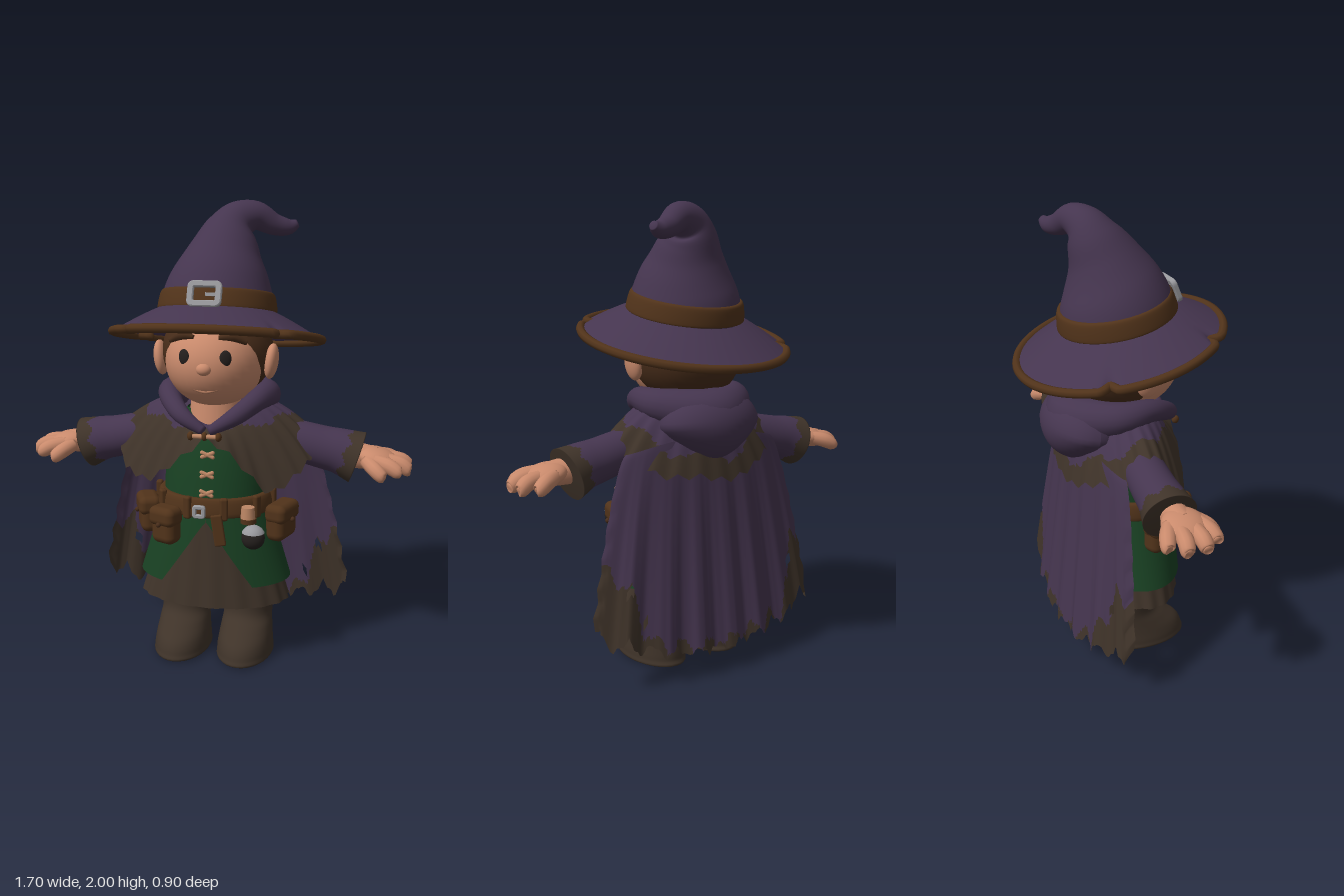
import * as THREE from 'three';
import { RoundedBoxGeometry } from 'three/addons/geometries/RoundedBoxGeometry.js';

const { sin, cos, abs, PI, min, max, floor } = Math;
const mat = (name, color) => Object.assign(new THREE.MeshStandardMaterial({ color, side: THREE.DoubleSide }), { name });
const purple = mat('purple cloth', 0x45354f), cloth = mat('dark brown cloth', 0x3f3329), green = mat('green cloth', 0x194123);
const skin = mat('skin', 0xc98a6c), leather = mat('leather', 0x51331a), hairMat = mat('hair', 0x482d1a);
const silver = mat('silver', 0x98989c), black = mat('black', 0x25201e), bronze = mat('bronze', 0xbc8664), lip = mat('lip', 0xa87358);

// Catmull-Rom sample of equal-length number rows
function sample(rows, t) {
  const f = min(max(t, 0), 1) * (rows.length - 1), i = min(floor(f), rows.length - 2), k = f - i;
  const at = n => rows[min(max(n, 0), rows.length - 1)];
  return rows[0].map((_, c) => {
    const [a, b, d, e] = [at(i - 1)[c], at(i)[c], at(i + 1)[c], at(i + 2)[c]];
    return b + 0.5 * k * (d - a + k * (2 * a - 5 * b + 4 * d - e + k * (3 * (b - d) + e - a)));
  });
}
const tooth = t => abs((((t % 1) + 1) % 1) * 2 - 1);

// Surface grid; pick chooses the material per cell (-1 leaves a hole)
function grid(fn, nu, nv, closed, pick) {
  const cols = closed ? nu : nu + 1, pos = [], lists = [];
  for (let j = 0; j <= nv; j++) for (let i = 0; i < cols; i++) pos.push(...fn(i / nu, j / nv, j));
  for (let j = 0; j < nv; j++) for (let i = 0; i < nu; i++) {
    const m = pick ? pick((i + 0.5) / nu, (j + 0.5) / nv) : 0;
    if (m < 0) continue;
    const a = j * cols + i, b = j * cols + (i + 1) % cols, c = a + cols, d = b + cols;
    (lists[m] ||= []).push(a, c, b, b, c, d);
  }
  const g = new THREE.BufferGeometry();
  g.setAttribute('position', new THREE.Float32BufferAttribute(pos, 3));
  const index = [];
  lists.forEach((l, m) => { g.addGroup(index.length, l.length, m); for (const n of l) index.push(n); });
  if (!pick) g.clearGroups();
  g.setIndex(index);
  g.computeVertexNormals();
  return g;
}

// Elliptical rings stacked in y: rows of [y, rx, rz, centreZ]
function loft(rows, { nu = 48, nv = 20, wave = 0, open = null } = {}) {
  return grid((u, v) => {
    const [y, rx, rz, cz] = sample(rows, v), a0 = open ? open(y) : 0;
    const a = a0 + u * (2 * PI - 2 * a0), k = 1 + wave * v * sin(a * 18);
    return [rx * k * sin(a), y, cz + rz * k * cos(a)];
  }, nu, nv, !open);
}

// Capped tube through rows of [x, y, z, r1, r2]
function sweep(rows, { nu = 16, nv = 16, ref = [0, 0, 1], pick } = {}) {
  const up = new THREE.Vector3(...ref), n = nv + 2;
  return grid((u, v, j) => {
    const t = min(max((j - 1) / nv, 0), 1), p = sample(rows, t), cap = j === 0 || j === n ? 0 : 1;
    const q0 = sample(rows, t - 0.02), q1 = sample(rows, t + 0.02);
    const tan = new THREE.Vector3(q1[0] - q0[0], q1[1] - q0[1], q1[2] - q0[2]).normalize();
    const side = up.clone().cross(tan).normalize(), other = tan.clone().cross(side);
    const o = new THREE.Vector3(p[0], p[1], p[2]).addScaledVector(side, cap * p[3] * cos(u * 2 * PI))
      .addScaledVector(other, cap * (p[4] ?? p[3]) * sin(u * 2 * PI));
    return o.toArray();
  }, nu, n, true, pick);
}

// Rounded buckle frame
function frame(w, h, t, d) {
  const rect = (P, a, b, r) => new P().moveTo(r - a, -b).lineTo(a - r, -b).quadraticCurveTo(a, -b, a, r - b).lineTo(a, b - r)
    .quadraticCurveTo(a, b, a - r, b).lineTo(r - a, b).quadraticCurveTo(-a, b, -a, b - r).lineTo(-a, r - b).quadraticCurveTo(-a, -b, r - a, -b);
  const s = rect(THREE.Shape, w / 2, h / 2, t * 1.3);
  s.holes.push(rect(THREE.Path, w / 2 - t, h / 2 - t, t * 0.5));
  return new THREE.ExtrudeGeometry(s, { depth: d, bevelSize: 0.004, bevelThickness: 0.004, bevelSegments: 1 });
}

export function createModel() {
  const root = new THREE.Group();
  const add = (name, geo, m, p = [0, 0, 0], r = [0, 0, 0], s = [1, 1, 1], parent = root) => {
    const mesh = new THREE.Mesh(geo, m);
    mesh.name = name;
    mesh.position.set(...p); mesh.rotation.set(...r); mesh.scale.set(...s);
    parent.add(mesh);
    return mesh;
  };
  const ball = (name, m, p, s, r) => add(name, new THREE.SphereGeometry(1, 32, 24), m, p, r, s);

  // Head and face
  ball('head', skin, [0, 1.335, 0.03], [0.215, 0.2, 0.235]);
  ball('hair', hairMat, [0, 1.365, -0.018], [0.242, 0.215, 0.232]);
  ball('nose', skin, [0, 1.33, 0.257], [0.032, 0.026, 0.026]);
  add('neck', new THREE.CylinderGeometry(0.1, 0.13, 0.25, 24), skin, [0, 1.1, 0.02]);
  add('mouth', sweep([[-0.055, 1.24, 0.222, 0.004], [0, 1.23, 0.234, 0.005], [0.055, 1.24, 0.222, 0.004]], { nu: 8 }), lip);
  for (const s of [1, -1]) {
    ball('ear', skin, [s * 0.243, 1.335, 0.03], [0.03, 0.077, 0.054], [0, 0, -s * 0.12]);
    ball('eye', black, [s * 0.087, 1.375, 0.237], [0.025, 0.034, 0.01], [0, s * 0.35, 0]);
    add('eyebrow', sweep([[s * 0.052, 1.455, 0.21, 0.009], [s * 0.105, 1.46, 0.198, 0.019], [s * 0.162, 1.432, 0.172, 0.01]], { nu: 10 }), hairMat);
  }

  // Hat: bent cone, notched brim with trim, band and buckle
  add('hatCone', sweep([
    [0, 1.51, 0.0, 0.25], [0.005, 1.6, -0.012, 0.238], [0.014, 1.69, -0.03, 0.206], [0.025, 1.785, -0.06, 0.155],
    [0.042, 1.865, -0.095, 0.116], [0.075, 1.917, -0.12, 0.083], [0.14, 1.932, -0.15, 0.062], [0.21, 1.897, -0.18, 0.047],
    [0.268, 1.885, -0.205, 0.036], [0.308, 1.9, -0.22, 0.018]], { nu: 40, nv: 48 }), purple);
  const notches = [0.75, 2.36, 3.63];
  const notch = a => notches.reduce((k, n) => k + 0.05 * Math.exp(-(((a - n) / 0.05) ** 2)), 0);
  const brim = (a, v) => {
    const r = 0.2 + 0.25 * v - notch(a) * v ** 6, z = r * sin(a) * 0.96;
    return [r * cos(a), 1.56 - 0.13 * v ** 1.2 + 0.215 * z, z];
  };
  add('hatBrim', grid((u, v) => brim(u * 2 * PI, v), 140, 14, true), purple);
  const rim = Array.from({ length: 140 }, (_, i) => new THREE.Vector3(...brim(i / 140 * 2 * PI, 1)));
  add('brimTrim', new THREE.TubeGeometry(new THREE.CatmullRomCurve3(rim, true), 280, 0.019, 8, true), leather);
  const band = new THREE.Group();
  band.name = 'hatBand';
  band.position.set(0, 1.578, -0.014);
  band.rotation.x = -0.2;
  root.add(band);
  add('bandStrap', loft([[-0.04, 0.245, 0.245, 0], [-0.035, 0.257, 0.257, 0], [0.033, 0.244, 0.244, 0], [0.04, 0.22, 0.22, 0]]), leather, [0, 0, 0], [0, 0, 0], [1, 1, 1], band);
  add('hatBuckle', frame(0.135, 0.1, 0.018, 0.015), silver, [0, 0.006, 0.251], [-0.2, 0, 0], [1, 1, 1], band);
  add('hatBuckleProng', new THREE.BoxGeometry(0.06, 0.014, 0.016), silver, [0.035, 0.006, 0.26], [0, 0, 0], [1, 1, 1], band);

  // Hood lying around the neck
  const half = [[0.012, 1.06, 0.215, 0.02], [0.115, 1.12, 0.185, 0.038], [0.195, 1.175, 0.06, 0.05], [0.19, 1.165, -0.1, 0.072]];
  const roll = [...half, [0, 1.135, -0.23, 0.1], ...half.map(([x, ...q]) => [-x, ...q]).reverse()];
  add('hoodRoll', sweep(roll, { nv: 60, ref: [0, 1, 0] }), purple);
  const bag = new THREE.SphereGeometry(1, 40, 28), bp = bag.attributes.position;
  for (let i = 0; i < bp.count; i++) if (bp.getY(i) < 0) bp.setX(i, bp.getX(i) * (1 + 0.4 * bp.getY(i)));
  bag.computeVertexNormals();
  add('hoodBag', bag, purple, [0, 1.08, -0.18], [0.15, 0, 0], [0.235, 0.155, 0.168]);

  // Shoulder mantle with ragged brown hem
  const hem = [[1.03], [0.93], [0.82], [0.85], [0.91], [1.0], [1.0], [0.95], [0.9], [0.87], [0.85]];
  add('mantle', grid((u, v) => {
    const a = u * 2 * PI, t = min(a, 2 * PI - a) / PI, c = cos(a);
    const top = 1.17 - 0.1 * max(c, 0) ** 3, low = sample(hem, t)[0] + 0.03 * (tooth(u * 26) - 0.5) + 0.012 * sin(a * 7);
    const rx = 0.16 + 0.28 * v ** 0.85, rz = c > 0 ? 0.14 + 0.105 * v ** 0.6 : 0.15 + 0.12 * v ** 0.7;
    return [rx * sin(a), top + (low - top) * v ** 1.4, rz * c];
  }, 156, 24, true, (u, v) => v > 0.5 - 0.28 * cos(u * 2 * PI) + 0.05 * sin(u * 50) ? 1 : 0), [purple, cloth]);

  // Tattered cape with brown corners and small holes
  add('cape', grid((u, v) => {
    const s = 2 * u - 1, e = (1 - s * s) ** 0.7, w = 0.39 + 0.2 * v ** 0.7;
    const low = 0.09 + 0.1 * s * s + (0.035 + 0.06 * s * s) * tooth(u * 11 + 0.2) + 0.025 * tooth(u * 27);
    const fray = abs(s) > 0.95 ? 0.018 * tooth(v * 6) * v : 0;
    const top = 1.04 - 0.06 * s * s;
    return [s * (w - fray), top + (low - top) * v, -0.13 - 0.08 * e - v * (0.04 + 0.06 * e) + 0.012 * v * sin(s * 22)];
  }, 110, 60, false, (u, v) => {
    const s = 2 * u - 1;
    if (abs(abs(s) - 0.79) < 0.02 && abs(v - 0.74) < 0.03) return -1;
    if (abs(s - 0.66) < 0.015 && abs(v - 0.86) < 0.025) return -1;
    return v > 0.97 - 0.32 * min(max(abs(s) - 0.6, 0) / 0.25, 1) + 0.04 * sin(s * 31) ? 1 : 0;
  }), [purple, cloth]);

  // Tunic, split skirt and under-robe
  add('tunic', loft([[1.12, 0.13, 0.1, 0], [1.02, 0.22, 0.16, 0], [0.88, 0.225, 0.18, 0.015], [0.7, 0.23, 0.19, 0.03]]), green);
  add('tunicSkirt', loft([[0.72, 0.235, 0.19, 0.03], [0.55, 0.285, 0.21, 0.03], [0.37, 0.34, 0.225, 0.03]],
    { open: y => 0.64 * min(max((0.66 - y) / 0.29, 0), 1) ** 0.85, nu: 72, nv: 28 }), green);
  add('robe', loft([[0.72, 0.21, 0.17, 0.03], [0.5, 0.265, 0.19, 0.03], [0.27, 0.335, 0.207, 0.035]], { wave: 0.014, nu: 144 }), cloth);

  for (const s of [1, -1]) {
    add('boot', bootGeometry(), cloth, [s * 0.145, 0, 0]);
    // Sleeve with ragged brown cuff
    add('sleeve', sweep([[s * 0.2, 1, -0.03, 0.09], [s * 0.34, 0.98, -0.03, 0.09], [s * 0.47, 0.952, -0.035, 0.094], [s * 0.54, 0.938, -0.037, 0.1], [s * 0.615, 0.914, -0.04, 0.115, 0.108]],
      { nu: 48, nv: 40, pick: (u, v) => v > 0.76 + 0.07 * tooth(u * 7) ? 1 : 0 }), [purple, cloth]);
    // Hand and fingers
    add('wrist', sweep([[s * 0.58, 0.93, -0.03, 0.06], [s * 0.7, 0.92, -0.02, 0.05, 0.075]]), skin);
    ball('palm', skin, [s * 0.705, 0.92, -0.022], [0.095, 0.047, 0.092], [0, 0, -s * 0.25]);
    for (const [x, y, z, z0] of [[0.795, 0.885, -0.128, -0.08], [0.843, 0.88, -0.068, -0.045], [0.845, 0.88, 0.012, 0], [0.805, 0.885, 0.074, 0.035]])
      add('finger', sweep([[s * 0.69, 0.925, z0, 0.03], [s * (x - 0.05), 0.91, z0 * 0.35 + z * 0.65, 0.034], [s * (x - 0.01), y + 0.004, z, 0.029], [s * x, y, z, 0.017]], { nu: 12 }), skin);
    add('thumb', sweep([[s * 0.66, 0.92, 0.03, 0.032], [s * 0.7, 0.895, 0.08, 0.033], [s * 0.732, 0.87, 0.1, 0.027], [s * 0.742, 0.865, 0.104, 0.012]], { nu: 12 }), skin);
  }

  // Clasp and chest toggles
  add('clasp', new THREE.CapsuleGeometry(0.01, 0.1, 4, 10), bronze, [0, 1.045, 0.25], [0, 0, PI / 2]);
  for (const x of [-0.06, 0, 0.06]) ball('claspKnob', leather, [x, 1.045, 0.247], [0.014, 0.019, 0.017]);
  for (const [y, z] of [[0.95, 0.192], [0.865, 0.203], [0.785, 0.215]]) for (const s of [1, -1])
    add('toggle', new THREE.CapsuleGeometry(0.009, 0.05, 4, 8), bronze, [0, y, z], [0, 0, PI / 2 + s * 0.4]);

  // Belt with loops, buckle and tongue
  add('belt', loft([[0.765, 0.225, 0.185, 0.03], [0.758, 0.25, 0.207, 0.03], [0.69, 0.26, 0.216, 0.03], [0.682, 0.235, 0.19, 0.03]], { nv: 12 }), leather);
  for (let i = 0; i < 10; i++) {
    const a = (i + 0.5) * PI / 5;
    add('beltLoop', new RoundedBoxGeometry(0.035, 0.1, 0.03, 2, 0.01), leather, [0.257 * sin(a), 0.725, 0.03 + 0.213 * cos(a)], [0, a, 0]);
  }
  add('beltBuckle', frame(0.05, 0.05, 0.01, 0.01), silver, [-0.025, 0.712, 0.243]);
  add('beltTongue', new RoundedBoxGeometry(0.05, 0.14, 0.016, 2, 0.007), leather, [0.06, 0.635, 0.25], [0, 0.1, 0.15]);

  // Pouches with flaps and buttons
  for (const [x, z, a, w] of [[-0.295, 0.07, -1.15, 0.14], [-0.175, 0.225, -0.4, 0.12], [0.3, 0.06, 1.25, 0.16]]) {
    const pouch = new THREE.Group();
    pouch.name = 'pouch';
    pouch.position.set(x, 0.635, z);
    pouch.rotation.y = a;
    root.add(pouch);
    const part = (n, g, m, p, r) => add(n, g, m, p, r, [1, 1, 1], pouch);
    part('pouchBody', new RoundedBoxGeometry(w, 0.16, 0.09, 4, 0.035), leather);
    part('pouchFlap', new RoundedBoxGeometry(w + 0.012, 0.085, 0.1, 3, 0.03), leather, [0, 0.045, 0.005]);
    part('pouchButton', new THREE.SphereGeometry(0.011, 12, 8), hairMat, [0, 0.015, 0.056]);
  }

  // Round flask and corked vial
  ball('flask', black, [0.21, 0.613, 0.245], [0.05, 0.05, 0.045]);
  add('flaskCap', new THREE.SphereGeometry(0.053, 24, 10, 0, 2 * PI, 0, 1.15), silver, [0.21, 0.616, 0.245]);
  add('vial', new THREE.CylinderGeometry(0.028, 0.032, 0.05, 16), bronze, [0.185, 0.72, 0.235]);
  add('vialStrap', new THREE.CylinderGeometry(0.034, 0.034, 0.02, 16), leather, [0.188, 0.687, 0.238]);
  return root;
}

// Boot outline from sole to shaft
function bootGeometry() {
  return loft([[0, 0.01, 0.01, 0.055], [0, 0.116, 0.188, 0.055], [0.03, 0.125, 0.197, 0.056], [0.08, 0.12, 0.185, 0.045],
    [0.13, 0.114, 0.15, 0.018], [0.18, 0.11, 0.122, -0.012], [0.26, 0.117, 0.12, -0.02], [0.34, 0.11, 0.115, -0.02]], { nu: 32, nv: 35 });
}
